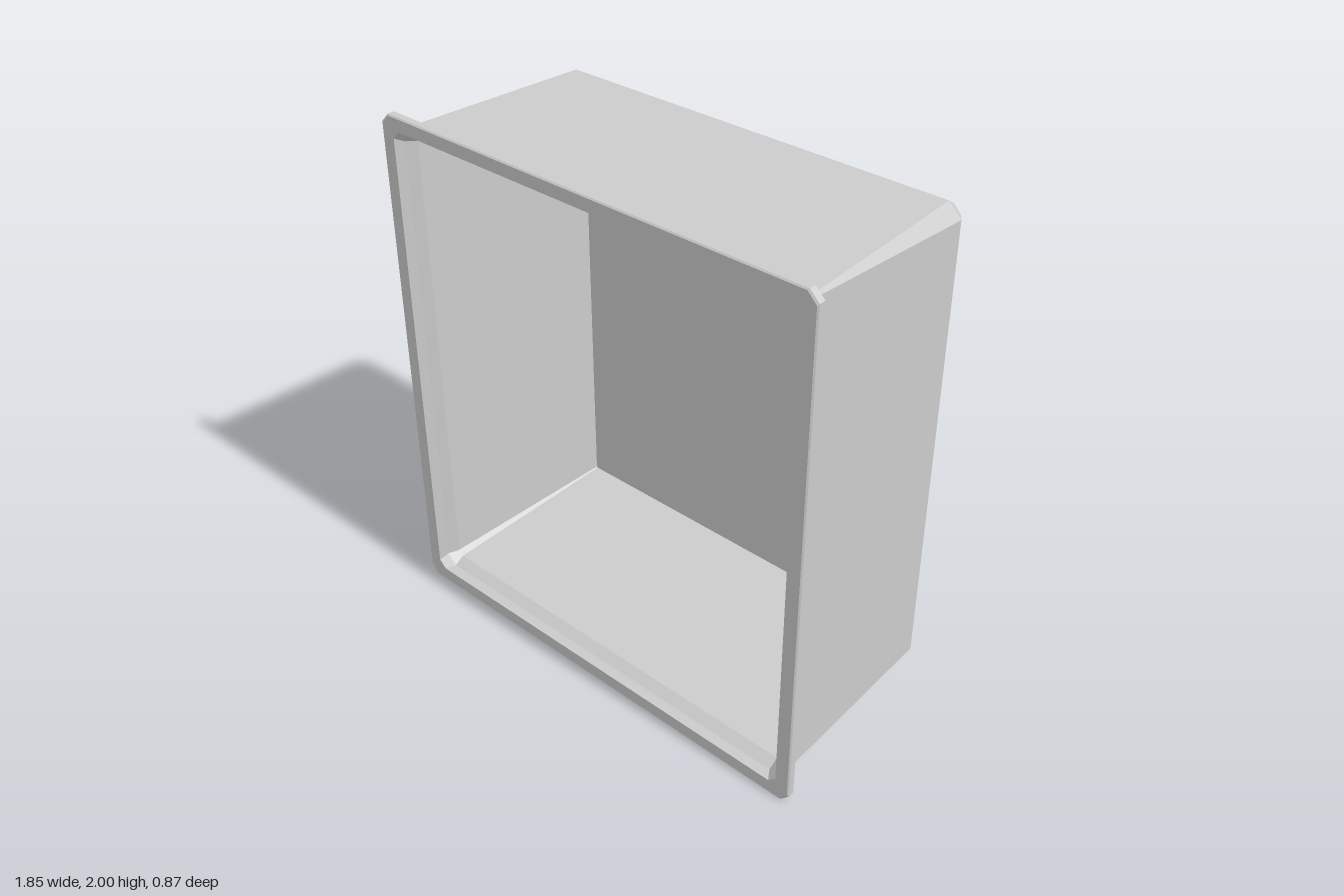
import * as THREE from 'three';

const material = new THREE.MeshStandardMaterial({ color: 0xcccccc, flatShading: true });

// Chamfered rectangle, counter-clockwise seen from the front
function ring([z, w, y0, y1, c]) {
  return [
    [w, y0 + c], [w, y1 - c], [w - c, y1], [c - w, y1],
    [-w, y1 - c], [-w, y0 + c], [c - w, y0], [w - c, y0],
  ].map(([x, y]) => [x, y, z]);
}

// Skin over successive rings, optionally closed at the first or last one
function loft(name, sections, capStart = false, capEnd = false) {
  const rings = sections.map(ring);
  const n = 8;
  const index = [];
  for (let r = 0; r < rings.length - 1; r++) {
    for (let i = 0; i < n; i++) {
      const j = (i + 1) % n;
      const a = r * n + i, b = r * n + j;
      index.push(a, b, b + n, a, b + n, a + n);
    }
  }
  const last = (rings.length - 1) * n;
  for (let i = 1; i < n - 1; i++) {
    if (capStart) index.push(0, i + 1, i);
    if (capEnd) index.push(last, last + i, last + i + 1);
  }
  const geometry = new THREE.BufferGeometry();
  geometry.setAttribute('position', new THREE.Float32BufferAttribute(rings.flat(2), 3));
  geometry.setIndex(index);
  const flat = geometry.toNonIndexed();
  flat.computeVertexNormals();
  const mesh = new THREE.Mesh(flat, material);
  mesh.name = name;
  return mesh;
}

export function createModel() {
  const group = new THREE.Group();
  group.name = 'openBox';

  // Sections are [z, half width, bottom, top, corner chamfer]
  group.add(
    // Outer walls, bevelled around the back, corner bevels fading to the front
    loft('outerShell', [
      [-0.435, 0.80, 0.125, 1.885, 0.015],
      [-0.42, 0.83, 0.095, 1.915, 0.03],
      [-0.375, 0.86, 0.07, 1.943, 0.05],
      [0.39, 0.865, 0.06, 1.945, 0.008],
    ], true),
    // Flange around the opening
    loft('rim', [
      [0.39, 0.865, 0.06, 1.945, 0.008],
      [0.392, 0.905, 0.02, 1.98, 0.035],
      [0.405, 0.925, 0, 2, 0.035],
      [0.43, 0.925, 0, 2, 0.035],
      [0.435, 0.92, 0.005, 1.995, 0.035],
      [0.435, 0.868, 0.057, 1.948, 0.03],
    ]),
    // Inner walls and back, with a bevelled lip at the opening
    loft('innerLining', [
      [0.435, 0.868, 0.057, 1.948, 0.03],
      [0.40, 0.855, 0.065, 1.94, 0.04],
      [0.36, 0.835, 0.09, 1.915, 0.02],
      [-0.42, 0.818, 0.11, 1.892, 0.004],
    ], false, true),
  );
  return group;
}
